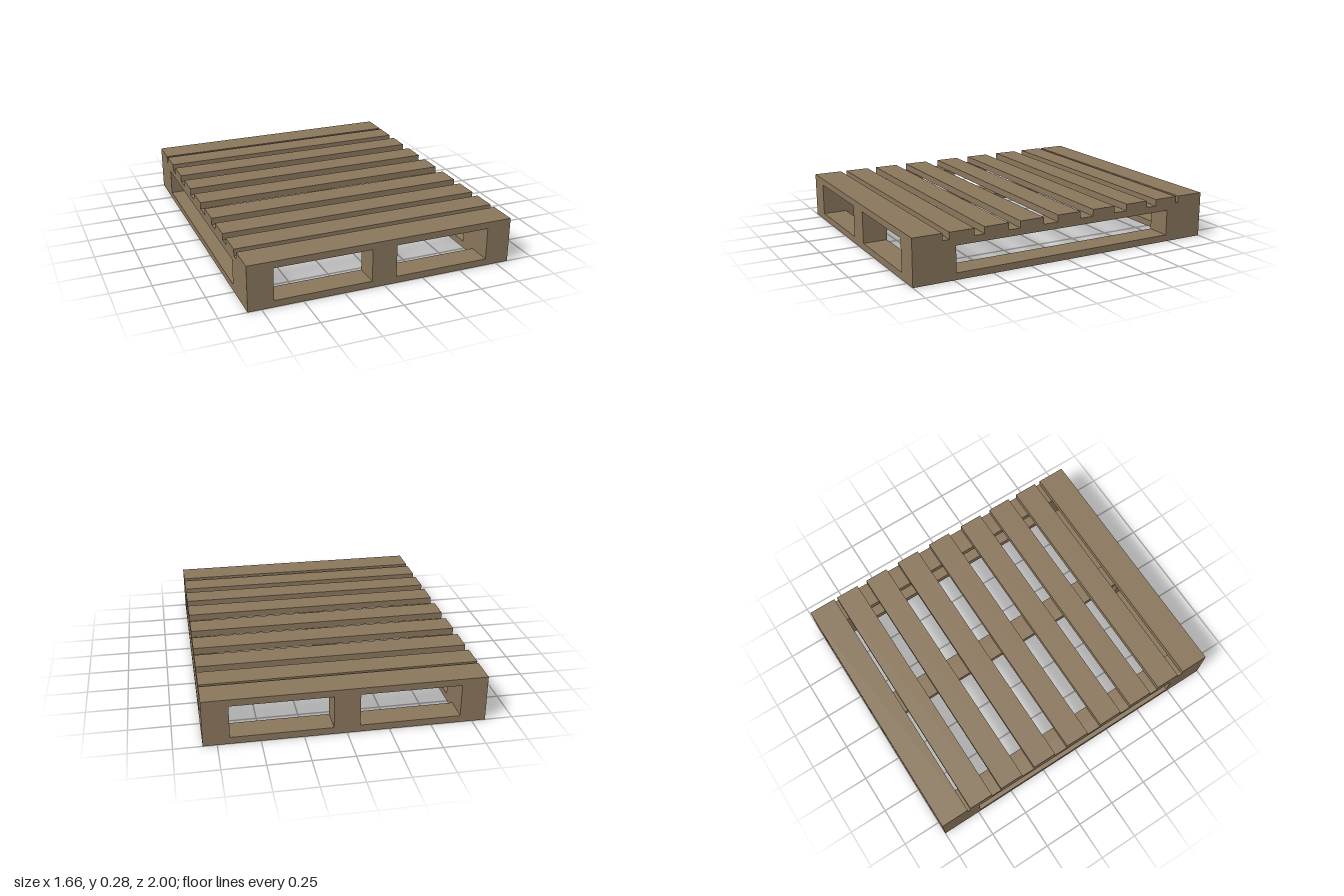
import * as THREE from 'three';

export function createModel() {
  const pallet = new THREE.Group();
  pallet.name = 'pallet';
  const wood = new THREE.MeshStandardMaterial({ color: 0x8a765c });
  wood.name = 'wood';

  // Adds a plank or block from its limits on each axis
  function plank(name, [x0, x1], [y0, y1], [z0, z1]) {
    const mesh = new THREE.Mesh(new THREE.BoxGeometry(x1 - x0, y1 - y0, z1 - z0), wood);
    mesh.name = name;
    mesh.position.set((x0 + x1) / 2, (y0 + y1) / 2, (z0 + z1) / 2);
    pallet.add(mesh);
  }

  const W = 0.832, L = 1, B = 0.155;
  const base = [0, 0.042], gap = [0.042, 0.202], bearer = [0.202, 0.243], deck = [0.243, 0.285];
  const rows = { right: [-W, -W + B], centre: [-B / 2, B / 2], left: [W - B, W] };

  // Bottom frame: two end boards and two side boards
  plank('frontBaseBoard', [-W, W], base, [L - B, L]);
  plank('backBaseBoard', [-W, W], base, [-L, -L + B]);
  plank('rightBaseBoard', rows.right, base, [-L + B, L - B]);
  plank('leftBaseBoard', rows.left, base, [-L + B, L - B]);

  // Blocks at both ends of each row, and the lengthwise bearer on top of them
  for (const [side, x] of Object.entries(rows)) {
    const depth = side === 'centre' ? B : 0.265;
    plank(side + 'FrontBlock', x, gap, [L - depth, L]);
    plank(side + 'BackBlock', x, gap, [-L, -L + depth]);
    plank(side + 'Bearer', x, bearer, [-L, L]);
  }

  // Deck slats: wide end boards with seven narrower ones between
  plank('backDeckSlat', [-W, W], deck, [-L, -0.82]);
  [-0.722, -0.498, -0.253, -0.006, 0.247, 0.479, 0.698].forEach((z, i) =>
    plank('deckSlat' + (i + 1), [-W, W], deck, [z - 0.078, z + 0.078]));
  plank('frontDeckSlat', [-W, W], deck, [0.817, L]);

  return pallet;
}
